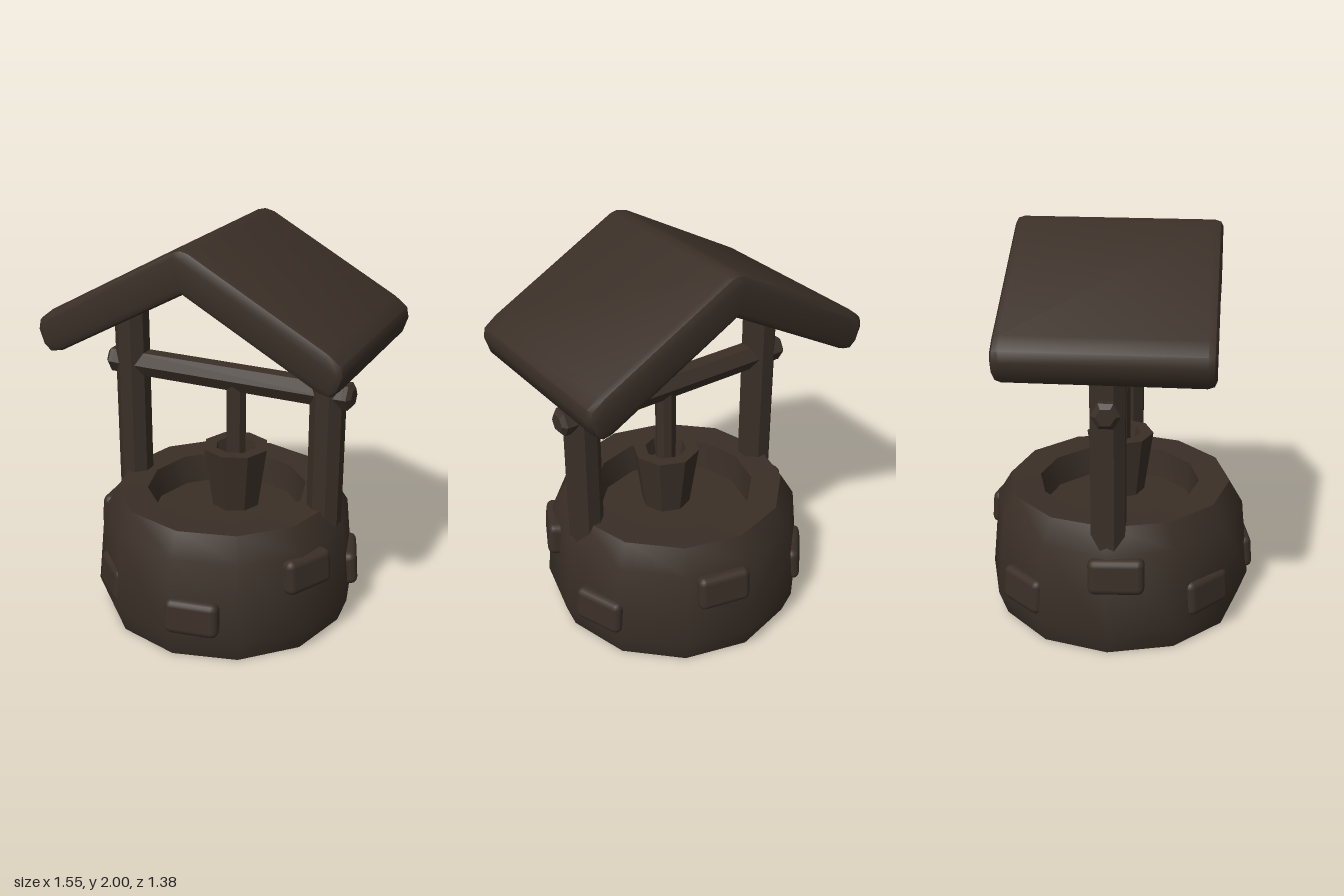
import * as THREE from 'three';
import { toCreasedNormals } from 'three/addons/utils/BufferGeometryUtils.js';
import { RoundedBoxGeometry } from 'three/addons/geometries/RoundedBoxGeometry.js';

const COLOR = 0x3a2f27;
const smooth = new THREE.MeshStandardMaterial({ color: COLOR });
const faceted = new THREE.MeshStandardMaterial({ color: COLOR, flatShading: true });

function add(parent, name, geometry, material, x = 0, y = 0, z = 0) {
  const mesh = new THREE.Mesh(geometry, material);
  mesh.name = name;
  mesh.position.set(x, y, z);
  parent.add(mesh);
  return mesh;
}

function lathe(profile, sides) {
  const points = profile.map(([r, y]) => new THREE.Vector2(r, y));
  return toCreasedNormals(new THREE.LatheGeometry(points, sides), 0.7);
}

export function createModel() {
  const well = new THREE.Group();
  well.name = 'well';

  // Twelve-sided stone wall with a sunken floor
  add(well, 'wall', lathe([
    [0, 0.005], [0.63, 0.005], [0.675, 0.13], [0.635, 0.54], [0.565, 0.655],
    [0.41, 0.65], [0.39, 0.5], [0, 0.5],
  ], 12), smooth);

  // Stones set into the wall: angle from the front, height, outer radius
  const stones = [
    [10, 0.245, 0.685], [110, 0.25, 0.685], [-42, 0.25, 0.66], [228, 0.245, 0.675],
    [63, 0.43, 0.67], [167, 0.43, 0.67], [-86, 0.43, 0.67],
  ];
  for (const [degrees, y, radius] of stones) {
    const a = THREE.MathUtils.degToRad(degrees);
    const r = radius - 0.06;
    const stone = add(well, 'stone', new RoundedBoxGeometry(0.27, 0.18, 0.12, 2, 0.035),
      smooth, r * Math.sin(a), y, r * Math.cos(a));
    stone.rotation.set(-0.08, a, 0, 'YXZ');
  }

  // Posts and the knobs on the beam ends
  for (const side of [-1, 1]) {
    const post = new THREE.CylinderGeometry(0.088, 0.088, 1.16, 8);
    post.rotateY(Math.PI / 8);
    add(well, 'post', post, faceted, side * 0.535, 1.08, 0);

    const knob = lathe([[0, -0.04], [0.065, -0.04], [0.07, 0.02], [0.045, 0.04], [0, 0.04]], 6);
    knob.rotateZ(-side * Math.PI / 2);
    add(well, 'beamKnob', knob, faceted, side * 0.625, 1.25, 0);
  }

  // Six-sided cross beam
  const beam = new THREE.CylinderGeometry(0.07, 0.07, 1.25, 6);
  beam.rotateZ(Math.PI / 2);
  add(well, 'beam', beam, faceted, 0, 1.25, 0);

  // Rope and hollow bucket
  add(well, 'rope', new THREE.CylinderGeometry(0.052, 0.052, 0.65, 8), faceted, 0.05, 0.925, 0);
  add(well, 'bucket', lathe([
    [0, 0.57], [0.125, 0.57], [0.17, 0.885], [0.105, 0.885], [0.09, 0.8], [0, 0.8],
  ], 8), faceted, 0.05, 0, 0);

  // Thick gabled roof, half outline mirrored across the ridge
  const half = [
    [0.04, 1.99], [0.7, 1.63], [0.765, 1.58], [0.775, 1.53],
    [0.75, 1.455], [0.71, 1.42], [0.66, 1.43],
  ];
  const outline = [[0, 2], ...half, [0, 1.79], ...half.map(([x, y]) => [-x, y]).reverse()];
  const roof = new THREE.ExtrudeGeometry(
    new THREE.Shape(outline.map(([x, y]) => new THREE.Vector2(x, y))),
    { depth: 0.9, bevelEnabled: true, bevelThickness: 0.04, bevelSize: 0.03, bevelOffset: -0.03, bevelSegments: 2 },
  );
  roof.translate(0, 0, -0.45);
  add(well, 'roof', toCreasedNormals(roof, 0.75), smooth);

  return well;
}
